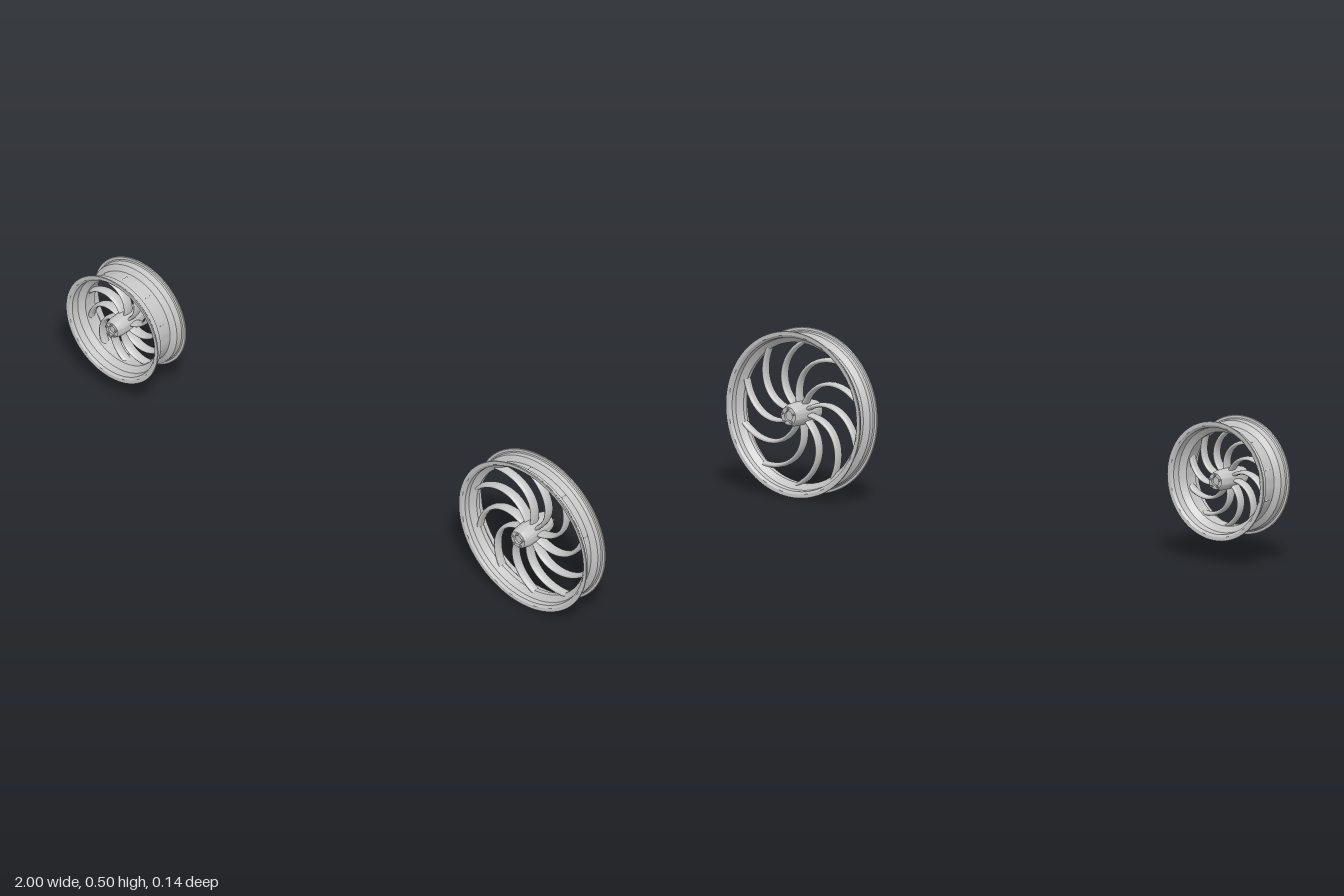
import * as THREE from 'three';
import { toCreasedNormals } from 'three/addons/utils/BufferGeometryUtils.js';

const metal = new THREE.MeshStandardMaterial({ color: 0xc6c6c6 });
metal.name = 'light grey metal';

function addMesh(parent, geometry, name) {
  const mesh = new THREE.Mesh(geometry, metal);
  mesh.name = name;
  parent.add(mesh);
  return mesh;
}

// Surface of revolution about the axle (z); points are [radius, z]
function revolve(points, segments) {
  const profile = points.map(([r, z]) => new THREE.Vector2(r, z));
  const geometry = new THREE.LatheGeometry(profile, segments).rotateX(Math.PI / 2);
  return toCreasedNormals(geometry, 0.5);
}

// Mirror half a profile across z = 0
const mirrored = (half) => [...half.map(([r, z]) => [r, -z]).reverse(), ...half];

// Thin rim with flanges, bead seats and a dropped centre
function rimGeometry({ radius: R, halfWidth: w, drop, well, seat }) {
  const outer = [
    [R - drop, well], [R - 0.013, seat], [R - 0.012, w - 0.009],
    [R - 0.009, w - 0.006], [R - 0.002, w - 0.005], [R, w - 0.003], [R - 0.001, w],
  ];
  const inner = [
    [R - drop - 0.009, well - 0.003], [R - 0.021, seat], [R - 0.019, w - 0.007],
    [R - 0.012, w - 0.001], [R - 0.004, w],
  ];
  const loop = [...mirrored(outer), ...mirrored(inner).reverse()];
  loop.push(loop[0]);
  return revolve(loop, 96);
}

// Swept blade with an oval section, curling towards the rim
function spokeGeometry({ radius, drop, hubRadius, swirl, spokeWidth, spokeDepth }) {
  const steps = 28, sides = 12, positions = [], index = [];
  const start = hubRadius * 0.6, end = radius - drop - 0.003;
  const path = (t) => {
    const r = start + (end - start) * t;
    const a = swirl * Math.pow(t, 1.7);
    return new THREE.Vector2(r * Math.cos(a), r * Math.sin(a));
  };
  for (let i = 0; i <= steps; i++) {
    const t = i / steps;
    const p = path(t);
    const d = path(t + 0.01).sub(path(Math.max(0, t - 0.01))).normalize();
    const half = spokeWidth * (0.85 + 0.15 * t);
    const depth = spokeDepth * (1 - 0.25 * t);
    for (let j = 0; j < sides; j++) {
      const a = (j / sides) * Math.PI * 2;
      const n = Math.cos(a) * half;
      positions.push(p.x - d.y * n, p.y + d.x * n, Math.sin(a) * depth);
      if (i < steps) {
        const k = (j + 1) % sides, row = i * sides, next = row + sides;
        index.push(row + j, row + k, next + j, row + k, next + k, next + j);
      }
    }
  }
  const geometry = new THREE.BufferGeometry();
  geometry.setAttribute('position', new THREE.Float32BufferAttribute(positions, 3));
  geometry.setIndex(index);
  geometry.computeVertexNormals();
  return geometry;
}

function createWheel(name, spec) {
  const wheel = new THREE.Group();
  wheel.name = name;
  addMesh(wheel, rimGeometry(spec), 'rim');

  // Tapered hub with a shallow recess in each end
  const { hubRadius: h, hubHalf: z } = spec;
  const hubHalfProfile = [
    [h, 0.02], [h * 0.98, z - 0.022], [h * 0.82, z - 0.002], [h * 0.76, z],
    [h * 0.42, z], [h * 0.4, z - 0.006], [0, z - 0.006],
  ];
  addMesh(wheel, revolve(mirrored(hubHalfProfile), 40), 'hub');

  // Curved spokes
  const spoke = spokeGeometry(spec);
  for (let i = 0; i < spec.spokes; i++) {
    addMesh(wheel, spoke, 'spoke').rotation.z = spec.phase + (i / spec.spokes) * Math.PI * 2;
  }

  // Ring of bolts on both hub ends
  const bolt = new THREE.CylinderGeometry(0.003, 0.003, 0.012, 10).rotateX(Math.PI / 2);
  const boltGeometry = toCreasedNormals(bolt, 0.7);
  for (const side of [1, -1]) {
    for (let i = 0; i < 5; i++) {
      const a = Math.PI / 2 + (i / 5) * Math.PI * 2;
      addMesh(wheel, boltGeometry, 'hubBolt').position.set(
        Math.cos(a) * h * 0.6, Math.sin(a) * h * 0.6, side * (z + 0.001));
    }
  }
  return wheel;
}

export function createModel() {
  const model = new THREE.Group();
  model.name = 'wheelPair';

  const large = createWheel('largeWheel', {
    radius: 0.248, halfWidth: 0.044, drop: 0.029, well: 0.01, seat: 0.022,
    hubRadius: 0.035, hubHalf: 0.065, spokes: 10, phase: 0.1, swirl: 0.9,
    spokeWidth: 0.0075, spokeDepth: 0.019,
  });
  large.position.set(0.752, 0.248, 0);

  const small = createWheel('smallWheel', {
    radius: 0.178, halfWidth: 0.065, drop: 0.029, well: 0.024, seat: 0.036,
    hubRadius: 0.031, hubHalf: 0.065, spokes: 10, phase: 0.1, swirl: 0.9,
    spokeWidth: 0.0065, spokeDepth: 0.019,
  });
  small.position.set(-0.822, 0.246, 0);

  model.add(large, small);
  return model;
}
